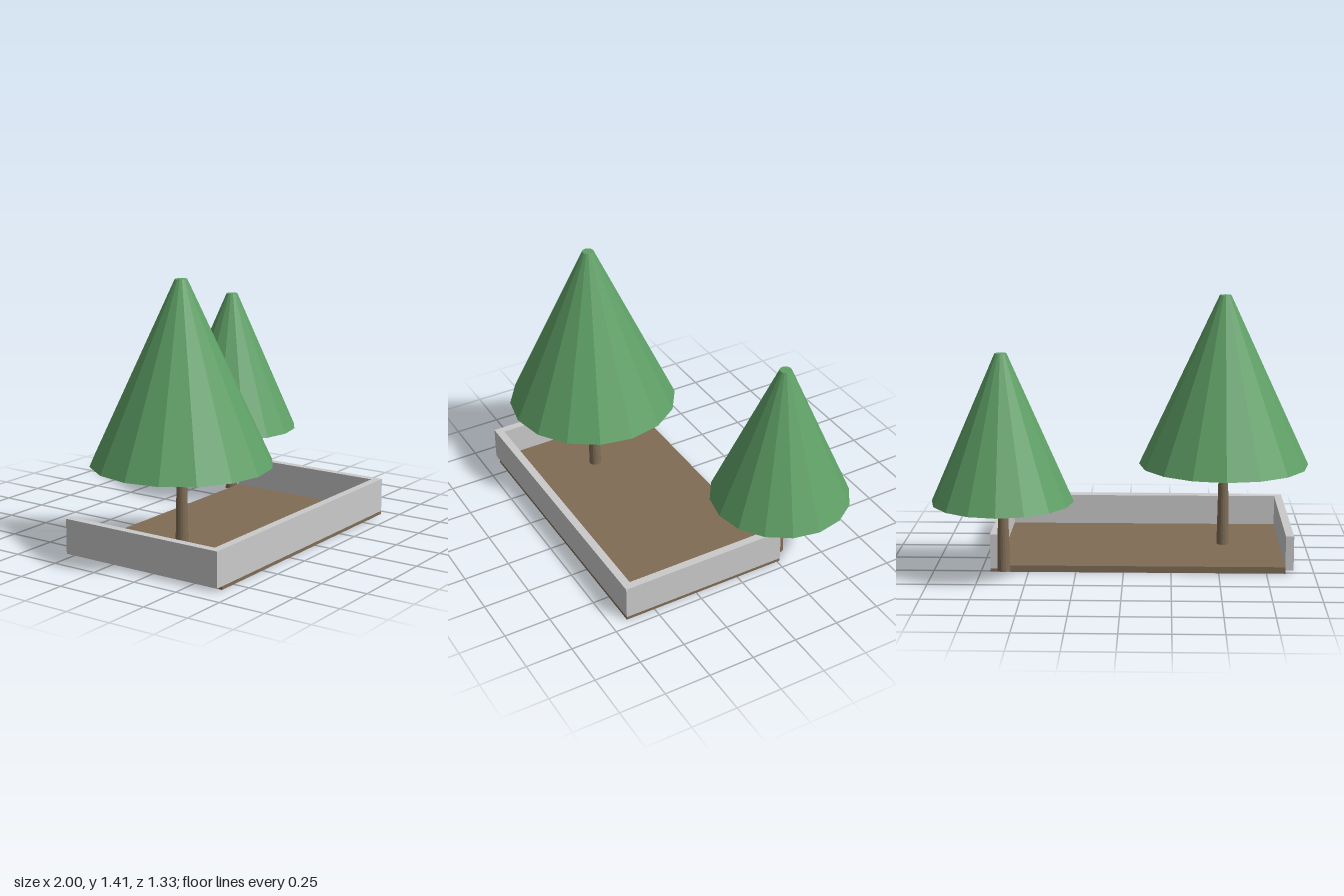
import * as THREE from 'three';

const soil = new THREE.MeshStandardMaterial({ color: 0x7f6c55, flatShading: true });
soil.name = 'brown';
const stone = new THREE.MeshStandardMaterial({ color: 0xcacaca, flatShading: true });
stone.name = 'light grey';
const leaf = new THREE.MeshStandardMaterial({ color: 0x5fa066, flatShading: true });
leaf.name = 'green';

// Box given by its minimum and maximum corners
function box(name, material, [x0, y0, z0], [x1, y1, z1]) {
  const mesh = new THREE.Mesh(new THREE.BoxGeometry(x1 - x0, y1 - y0, z1 - z0), material);
  mesh.position.set((x0 + x1) / 2, (y0 + y1) / 2, (z0 + z1) / 2);
  mesh.name = name;
  return mesh;
}

// Tapered, capped 16-sided column between two heights
function column(name, material, rTop, rBottom, y0, y1) {
  const mesh = new THREE.Mesh(new THREE.CylinderGeometry(rTop, rBottom, y1 - y0, 16), material);
  mesh.position.y = (y0 + y1) / 2;
  mesh.name = name;
  return mesh;
}

// Tree: slim trunk under a blunt cone
function tree(name, x, z, radius, y0, y1) {
  const group = new THREE.Group();
  group.name = name;
  group.position.set(x, 0, z);
  group.add(column('trunk', soil, 0.025, 0.034, 0.018, y0 + 0.01));
  group.add(column('foliage', leaf, 0.031, radius, y0, y1));
  return group;
}

export function createModel() {
  const model = new THREE.Group();
  model.name = 'gardenBed';

  // Soil slab, a hair inside the wall faces
  model.add(box('soilSlab', soil, [-0.849, 0, -0.264], [0.699, 0.035, 0.661]));

  // Low walls on three sides, open at the back
  const y0 = 0.018, y1 = 0.202, back = -0.265, front = 0.662, t = 0.043;
  model.add(box('frontWall', stone, [-0.892, y0, front - t], [0.7, y1, front]));
  model.add(box('rightWall', stone, [-0.892, y0, back], [-0.892 + t, y1, front - t]));
  model.add(box('leftWall', stone, [0.7 - t, y0, back], [0.7, y1, front - t]));

  // Trees
  model.add(tree('largeTree', -0.537, 0.198, 0.463, 0.486, 1.414));
  model.add(tree('smallTree', 0.626, -0.295, 0.37, 0.392, 1.166));

  return model;
}
